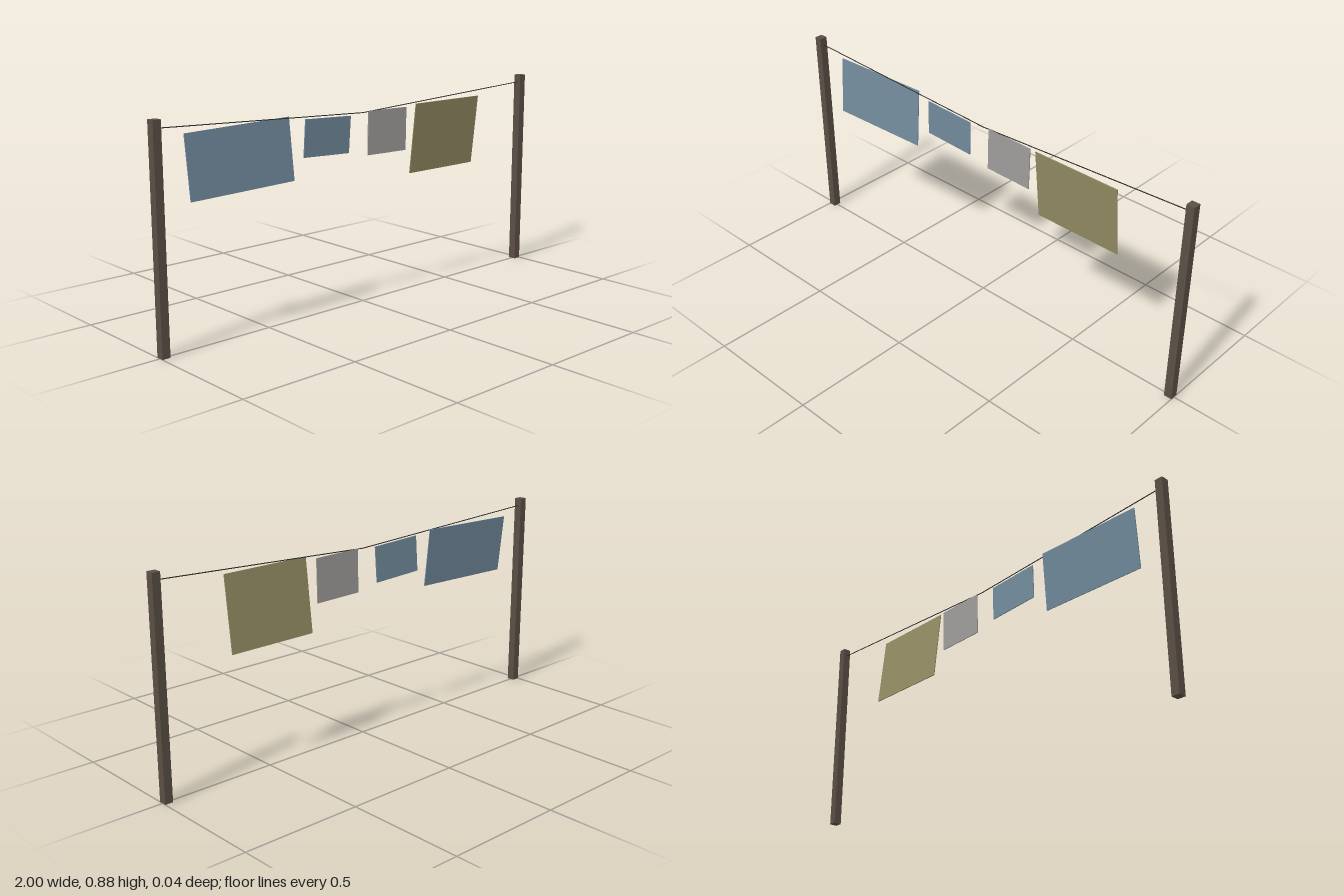
import * as THREE from 'three';

const mat = (name, color) => {
  const m = new THREE.MeshStandardMaterial({ color });
  m.name = name;
  return m;
};

export function createModel() {
  const group = new THREE.Group();
  const wood = mat('dark wood', 0x5a4f45);
  const cord = mat('dark cord', 0x2e2c2a);
  const blue = mat('faded blue cloth', 0x728b9c);
  const grey = mat('grey cloth', 0x9f9d9b);
  const olive = mat('olive cloth', 0x948c63);

  const add = (name, geometry, material) => {
    const mesh = new THREE.Mesh(geometry, material);
    mesh.name = name;
    group.add(mesh);
    return mesh;
  };

  // Posts and the two halves of the sagging rope
  const postHeight = 0.875, postWidth = 0.034;
  const middle = new THREE.Vector3(0, 0.798, 0);
  for (const [side, s] of [['left', 1], ['right', -1]]) {
    add(`${side}Post`, new THREE.BoxGeometry(postWidth, postHeight, postWidth), wood)
      .position.set(s * (1 - postWidth / 2), postHeight / 2, 0);

    const end = new THREE.Vector3(s * 0.98, 0.843, 0);
    const path = new THREE.CatmullRomCurve3([middle, end]);
    add(`${side}Rope`, new THREE.TubeGeometry(path, 1, 0.002, 6), cord);
  }

  // Hanging cloths: centre x, centre y, width, height, swing about x, skew about z
  const cloths = [
    ['largeBlueCloth', blue, -0.614, 0.69, 0.48, 0.25, -0.09, 0.021],
    ['smallBlueCloth', blue, -0.191, 0.722, 0.236, 0.152, 0.03, -0.045],
    ['greyCloth', grey, 0.136, 0.708, 0.217, 0.183, 0, -0.02],
    ['oliveCloth', olive, 0.481, 0.656, 0.389, 0.305, 0.11, -0.004],
  ];
  for (const [name, material, x, y, w, h, swing, skew] of cloths) {
    const cloth = add(name, new THREE.BoxGeometry(w, h, 0.004), material);
    cloth.position.set(x, y, 0);
    cloth.rotation.set(swing, 0, skew);
  }
  return group;
}
